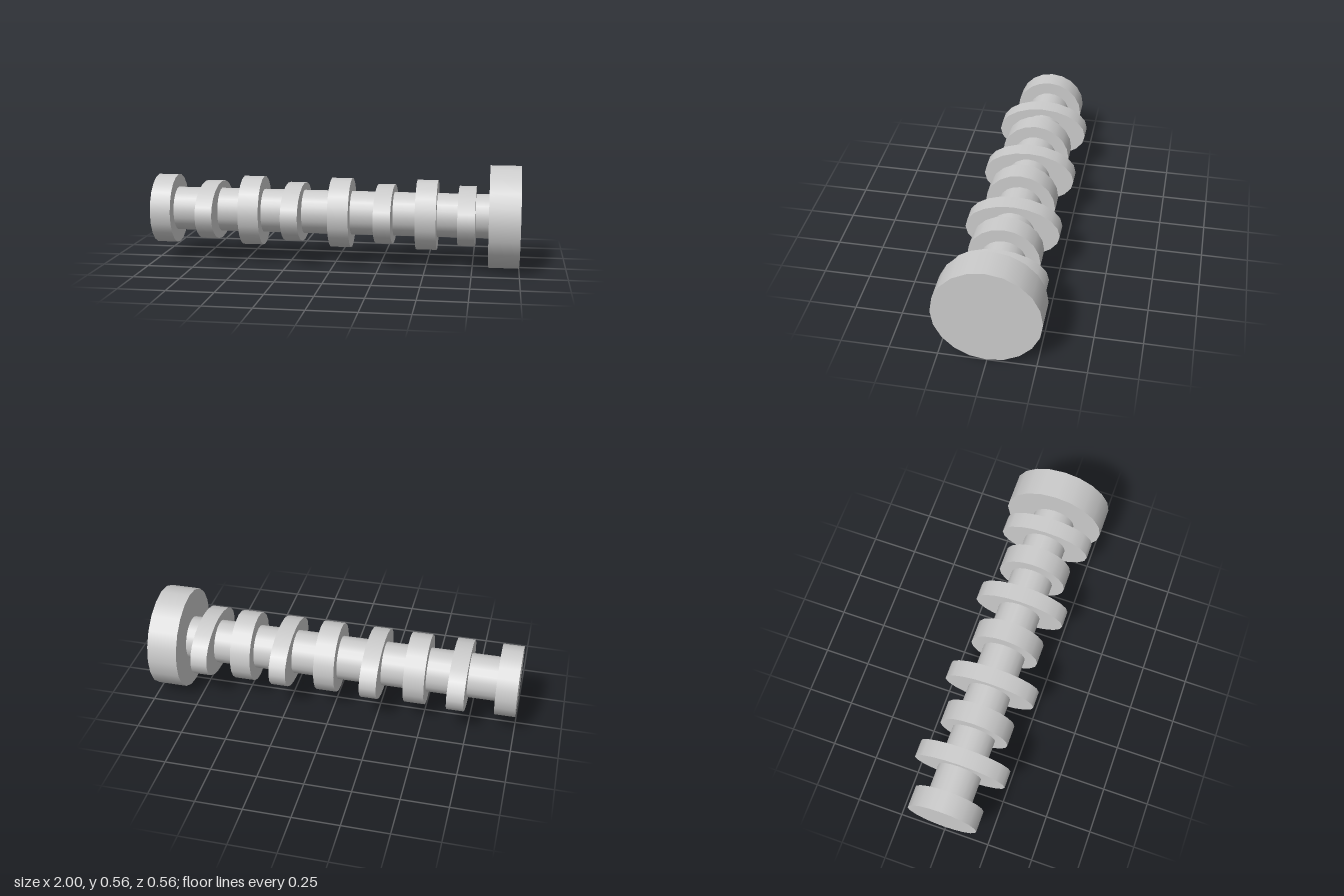
import * as THREE from 'three';

const AXIS_Y = 0.278;
const SIDES = 20;

export function createModel() {
  const group = new THREE.Group();
  const material = new THREE.MeshStandardMaterial({ color: 0xcccccc });

  // Disc or bar along x, from x0 to x1; stretch makes it oval along z
  function round(name, x0, x1, radius, stretch = 1) {
    const geometry = new THREE.CylinderGeometry(radius, radius, x1 - x0, SIDES);
    geometry.rotateZ(-Math.PI / 2);
    geometry.scale(1, 1, stretch);
    const mesh = new THREE.Mesh(geometry, material);
    mesh.name = name;
    mesh.position.set((x0 + x1) / 2, AXIS_Y, 0);
    group.add(mesh);
  }

  // Central shaft and the large drive wheel at its end
  round('shaft', -0.99, 0.9, 0.12);
  round('driveWheel', 0.835, 1, 0.278);

  // Round bearing journals
  [-0.944, -0.455, 0.034, 0.502].forEach((x, i) =>
    round(`journal${i + 1}`, x - 0.056, x + 0.056, 0.191));

  // Oval cam lobes between the journals
  [-0.686, -0.22, 0.276, 0.718].forEach((x, i) =>
    round(`camLobe${i + 1}`, x - 0.046, x + 0.046, 0.158, 1.6));

  return group;
}
